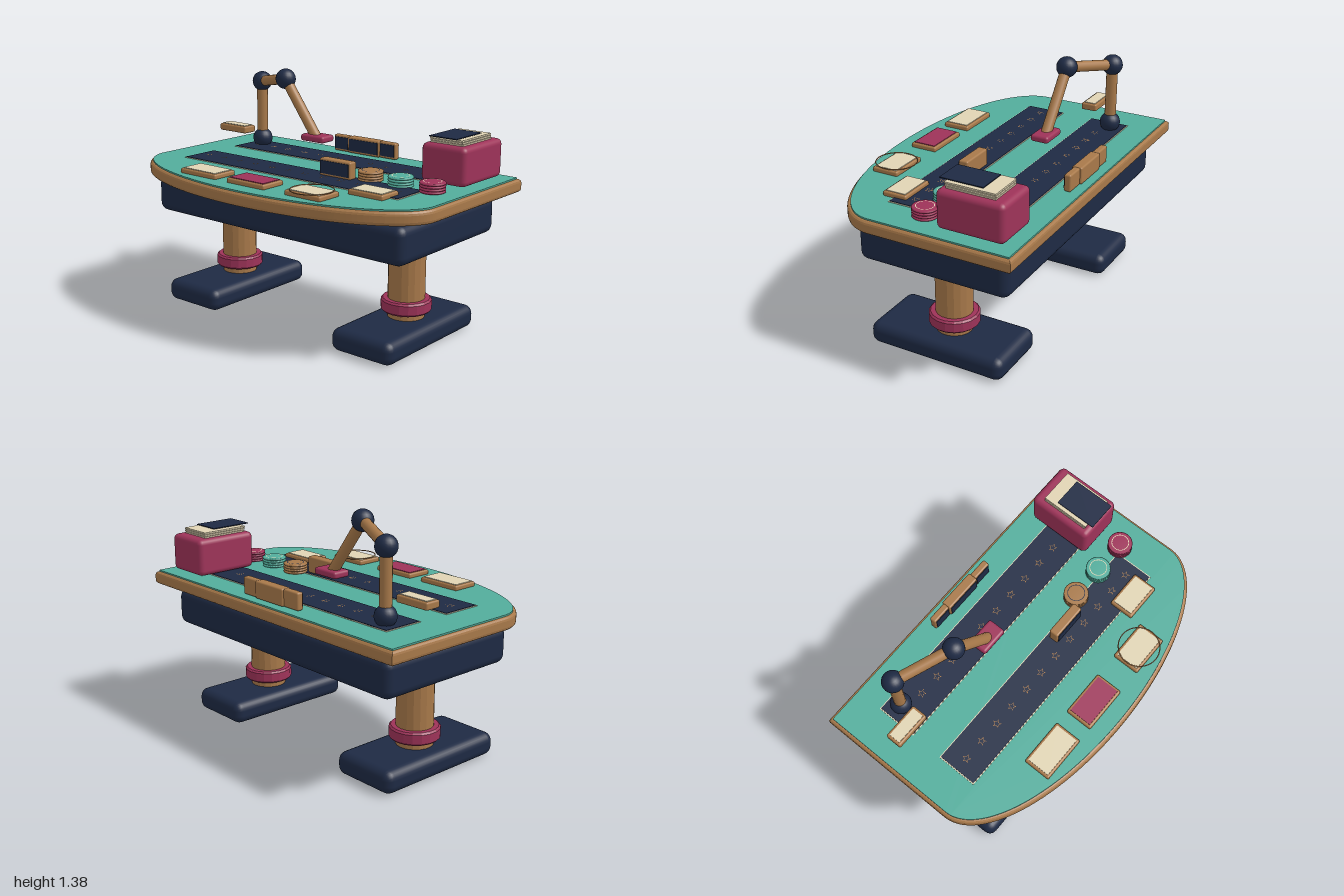
import * as THREE from 'three';
import { RoundedBoxGeometry } from 'three/addons/geometries/RoundedBoxGeometry.js';

const paint = (color, opts = {}) => {
  const m = new THREE.MeshStandardMaterial(opts);
  m.color.set(color);
  return m;
};
const WOOD = paint(0xa8794a), NAVY = paint(0x1e2a44), TEAL = paint(0x52ad9c);
const BERRY = paint(0x9e3359), CREAM = paint(0xe0d4b4);
const WOOD_FLAT = paint(0xa8794a, { flatShading: true });
const BERRY_FLAT = paint(0x9e3359, { flatShading: true });

export function createModel() {
  const root = new THREE.Group();

  const add = (name, geo, mat, x = 0, y = 0, z = 0, parent = root) => {
    const mesh = new THREE.Mesh(geo, mat);
    mesh.name = name;
    mesh.position.set(x, y, z);
    parent.add(mesh);
    return mesh;
  };
  const group = (name) => {
    const g = new THREE.Group();
    g.name = name;
    root.add(g);
    return g;
  };
  // Box given by its extents along each axis
  const block = (name, mat, [x0, x1], [y0, y1], [z0, z1], r = 0, parent = root) => {
    const s = [x1 - x0, y1 - y0, z1 - z0];
    const geo = r ? new RoundedBoxGeometry(...s, 3, r) : new THREE.BoxGeometry(...s);
    return add(name, geo, mat, (x0 + x1) / 2, (y0 + y1) / 2, (z0 + z1) / 2, parent);
  };
  // Round bar between two points
  const bar = (name, a, b, r, parent) => {
    const d = b.clone().sub(a);
    const m = add(name, new THREE.CylinderGeometry(r, r, d.length(), 16), WOOD, 0, 0, 0, parent);
    m.position.copy(a).add(b).multiplyScalar(0.5);
    m.quaternion.setFromUnitVectors(new THREE.Vector3(0, 1, 0), d.normalize());
  };

  // D-shaped slab: straight back, half-ellipse front
  const slab = (inset, bevel, depth) => {
    const w = 1 - inset - bevel, back = 0.622 - inset - bevel, curve = 0.42 - inset - bevel;
    const s = new THREE.Shape();
    s.moveTo(w, back);
    s.lineTo(-w, back);
    s.lineTo(-w, -0.2);
    s.absellipse(0, -0.2, w, curve, Math.PI, Math.PI * 2, false, 0);
    s.closePath();
    const geo = new THREE.ExtrudeGeometry(s, {
      depth: depth - 2 * bevel, bevelEnabled: bevel > 0, bevelSize: bevel,
      bevelThickness: bevel, bevelSegments: 3, curveSegments: 40,
    });
    return geo.rotateX(-Math.PI / 2).translate(0, bevel, 0);
  };
  add('tableTop', slab(0, 0.02, 0.075), WOOD, 0, 0.782, 0);
  add('felt', slab(0.018, 0, 0.012), TEAL, 0, 0.853, 0);
  block('apron', NAVY, [-0.89, 0.89], [0.55, 0.762], [-0.545, 0.345], 0.05);

  // Pedestal legs
  for (const side of [-1, 1]) {
    const x = side * 0.63, leg = group(side < 0 ? 'rightLeg' : 'leftLeg');
    block('foot', NAVY, [x - 0.2, x + 0.2], [0, 0.13], [-0.47, 0.345], 0.05, leg);
    add('post', new THREE.CylinderGeometry(0.103, 0.103, 0.68, 18), WOOD_FLAT, x, 0.45, -0.08, leg);
    const ring = [[0.1, 0.165], [0.13, 0.165], [0.14, 0.175], [0.14, 0.227], [0.13, 0.237], [0.1, 0.237]];
    const profile = ring.map(([r, y]) => new THREE.Vector2(r, y));
    add('collar', new THREE.LatheGeometry(profile, 18), BERRY_FLAT, x, 0, -0.08, leg);
  }

  // Card lanes with a thin border and outlined stars
  const starPath = (C, R) => {
    const p = new C();
    for (let i = 0; i < 10; i++) {
      const a = Math.PI / 2 + (i * Math.PI) / 5, r = i % 2 ? R * 0.42 : R;
      p[i ? 'lineTo' : 'moveTo'](Math.cos(a) * r, Math.sin(a) * r);
    }
    p.closePath();
    return p;
  };
  const star = starPath(THREE.Shape, 0.026);
  star.holes.push(starPath(THREE.Path, 0.019));
  const starGeo = new THREE.ShapeGeometry(star).rotateX(-Math.PI / 2);
  for (const [z0, z1] of [[-0.44, -0.21], [-0.012, 0.215]]) {
    const lane = group('cardLane');
    block('laneBorder', CREAM, [-0.779, 0.774], [0.86, 0.868], [z0 - 0.005, z1 + 0.005], 0, lane);
    block('laneField', NAVY, [-0.773, 0.768], [0.86, 0.871], [z0, z1], 0, lane);
    for (let i = 0; i < 12; i++) {
      add('star', starGeo, WOOD, -0.695 + i * 0.126, 0.873, (z0 + z1) / 2, lane);
    }
  }

  // Framed push plates
  const plate = (name, x, y, z, w, d, face, h = 0.03) => {
    const g = group(name);
    block('frame', WOOD, [x - w / 2, x + w / 2], [y, y + h], [z - d / 2, z + d / 2], 0.01, g);
    block('face', face, [x - w / 2 + 0.014, x + w / 2 - 0.014], [y + h / 2, y + h + 0.004],
      [z - d / 2 + 0.014, z + d / 2 - 0.014], 0, g);
  };
  plate('frontRightButton', -0.373, 0.862, 0.43, 0.272, 0.16, CREAM);
  plate('frontCentreButton', -0.016, 0.862, 0.43, 0.272, 0.16, BERRY);
  plate('frontLeftButton', 0.382, 0.862, 0.43, 0.24, 0.16, CREAM);
  plate('sideButton', 0.613, 0.862, 0.215, 0.225, 0.145, CREAM);
  plate('raisedButton', -0.78, 0.96, -0.232, 0.215, 0.095, CREAM, 0.042);
  add('buttonRing', new THREE.TorusGeometry(0.115, 0.003, 6, 40).rotateX(Math.PI / 2), WOOD, 0.385, 0.897, 0.43);

  // Chip stacks
  [[0.41, WOOD], [0.61, TEAL], [0.812, BERRY]].forEach(([x, mat]) => {
    const stack = group('chipStack');
    for (let i = 0; i < 4; i++) {
      const y = 0.872 + i * 0.0145, r = 0.07;
      const pts = [[0, -0.007], [r - 0.005, -0.007], [r, -0.003], [r, 0.003], [r - 0.005, 0.007], [0, 0.007]];
      const geo = new THREE.LatheGeometry(pts.map(([a, b]) => new THREE.Vector2(a, b)), 28);
      add('chip', geo, mat, x, y, -0.033, stack);
    }
    const inlay = new THREE.RingGeometry(0.046, 0.05, 28).rotateX(-Math.PI / 2);
    add('chipInlay', inlay, mat === WOOD ? NAVY : CREAM, x, 0.924, -0.033, stack);
  });

  // Upright displays with dark screens on the front
  const display = (name, x0, x1, z0, z1) => {
    const g = group(name);
    block('case', WOOD, [x0, x1], [0.868, 0.966], [z0, z1], 0.01, g);
    block('screen', NAVY, [x0 + 0.01, x1 - 0.01], [0.882, 0.954], [z1 - 0.01, z1 + 0.004], 0, g);
  };
  display('smallDisplay', 0.125, 0.34, 0.003, 0.06);
  display('backDisplayCentre', -0.12, 0.112, -0.562, -0.503);
  display('backDisplayRight', -0.234, -0.115, -0.552, -0.512);
  display('backDisplayLeft', 0.107, 0.226, -0.552, -0.512);

  // Card box with a loose stack of cards on top
  const shoe = group('cardBox');
  block('boxBody', BERRY, [0.643, 0.922], [0.874, 1.087], [-0.543, -0.16], 0.03, shoe);
  for (let i = 0; i < 3; i++) {
    block('card', CREAM, [0.68, 0.882], [1.086 + i * 0.012, 1.095 + i * 0.012],
      [-0.478, -0.2 + i * 0.004], 0, shoe);
  }
  block('topCard', NAVY, [0.698, 0.868], [1.126, 1.131], [-0.402, -0.157], 0, shoe);

  // Jointed dealing arm
  const arm = group('dealingArm');
  const [base, elbow, wrist, hand] = [
    [-0.69, 0.91, -0.365], [-0.69, 1.265, -0.365], [-0.372, 1.323, -0.225], [-0.13, 1.0, -0.222],
  ].map((p) => new THREE.Vector3(...p));
  for (const p of [base, elbow, wrist]) {
    add('joint', new THREE.SphereGeometry(0.06, 20, 14), NAVY, p.x, p.y, p.z, arm);
  }
  bar('column', base, elbow, 0.033, arm);
  bar('upperArm', elbow, wrist, 0.031, arm);
  bar('forearm', wrist, hand, 0.031, arm);
  block('gripper', BERRY, [-0.213, -0.043], [0.982, 1.022], [-0.278, -0.17], 0.015, arm);

  return root;
}
